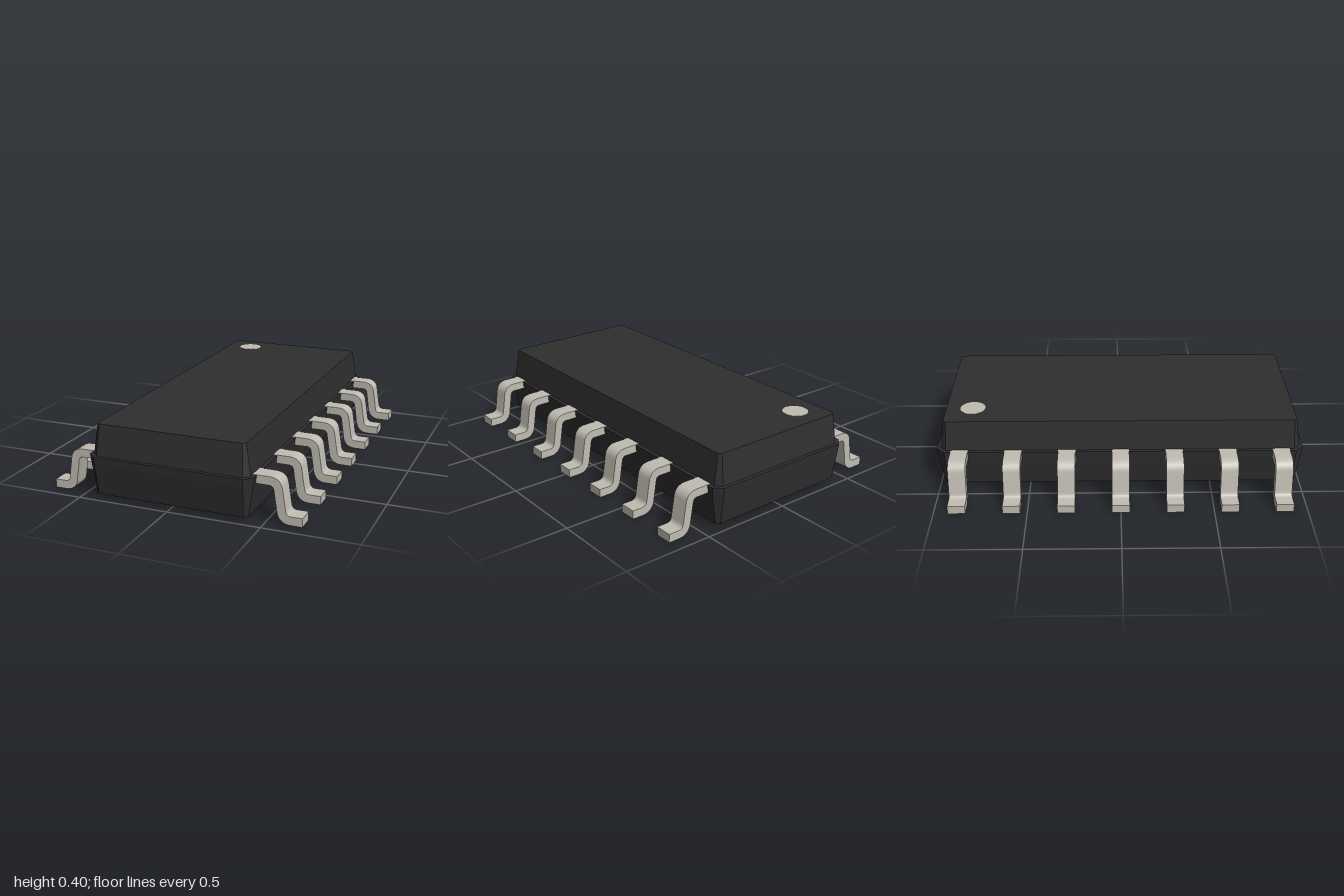
import * as THREE from 'three';
import { toCreasedNormals } from 'three/addons/utils/BufferGeometryUtils.js';

// Rectangle with chamfered corners at height y
function ring(y, x, z, c) {
  return [[x, -z + c], [x, z - c], [x - c, z], [-x + c, z], [-x, z - c], [-x, -z + c], [-x + c, -z], [x - c, -z]]
    .map(([px, pz]) => [px, y, pz]);
}

// Skin a stack of rings and cap both ends
function loft(rings) {
  const pos = [];
  const tri = (...pts) => pts.forEach((p) => pos.push(...p));
  const n = rings[0].length;
  const low = rings[0], high = rings[rings.length - 1];
  for (let j = 0; j < n; j++) {
    const k = (j + 1) % n;
    for (let i = 0; i < rings.length - 1; i++) {
      const a = rings[i], b = rings[i + 1];
      tri(a[j], b[j], a[k]);
      tri(a[k], b[j], b[k]);
    }
    tri([0, low[0][1], 0], low[j], low[k]);
    tri([0, high[0][1], 0], high[k], high[j]);
  }
  const g = new THREE.BufferGeometry();
  g.setAttribute('position', new THREE.Float32BufferAttribute(pos, 3));
  g.computeVertexNormals();
  return g;
}

// Gull-wing lead, bent in the x-y plane and extruded along z
function leadGeometry(width) {
  const s = new THREE.Shape();
  s.moveTo(0.42, 0.241);
  s.lineTo(0.517, 0.241);
  s.bezierCurveTo(0.553, 0.241, 0.578, 0.222, 0.583, 0.188);
  s.lineTo(0.601, 0.073);
  s.quadraticCurveTo(0.605, 0.049, 0.628, 0.049);
  s.lineTo(0.688, 0.049);
  s.lineTo(0.688, 0.003);
  s.lineTo(0.622, 0.003);
  s.bezierCurveTo(0.588, 0.003, 0.562, 0.026, 0.557, 0.058);
  s.lineTo(0.539, 0.175);
  s.quadraticCurveTo(0.536, 0.196, 0.514, 0.196);
  s.lineTo(0.42, 0.196);
  s.closePath();
  const g = new THREE.ExtrudeGeometry(s, { depth: width, bevelEnabled: false, curveSegments: 8 });
  g.translate(0, 0, -width / 2);
  return toCreasedNormals(g, 0.6);
}

export function createModel() {
  const model = new THREE.Group();
  model.name = 'chipPackage';
  const plastic = new THREE.MeshStandardMaterial({ color: 0x2e2e2e });
  plastic.name = 'blackPlastic';
  const metal = new THREE.MeshStandardMaterial({ color: 0xc0bcb2 });
  metal.name = 'tinnedMetal';

  // Tapered body with a ledge at the parting line
  const body = new THREE.Mesh(loft([
    ring(0.028, 0.42, 0.97, 0.018),
    ring(0.198, 0.446, 0.996, 0.04),
    ring(0.239, 0.45, 1.0, 0.042),
    ring(0.239, 0.43, 0.98, 0.03),
    ring(0.405, 0.405, 0.957, 0.015),
  ]), plastic);
  body.name = 'body';
  model.add(body);

  // Pin-one marker on the top
  const marker = new THREE.Mesh(new THREE.CylinderGeometry(0.069, 0.069, 0.004, 32), metal);
  marker.name = 'pinOneMarker';
  marker.position.set(-0.257, 0.405, -0.81);
  model.add(marker);

  // Seven leads on each side
  const geometry = leadGeometry(0.094);
  for (const side of [1, -1]) {
    const row = new THREE.Group();
    row.name = side > 0 ? 'leftLeads' : 'rightLeads';
    row.rotation.y = side > 0 ? 0 : Math.PI;
    for (let i = -3; i <= 3; i++) {
      const lead = new THREE.Mesh(geometry, metal);
      lead.name = 'lead';
      lead.position.z = i * 0.292;
      row.add(lead);
    }
    model.add(row);
  }
  return model;
}
